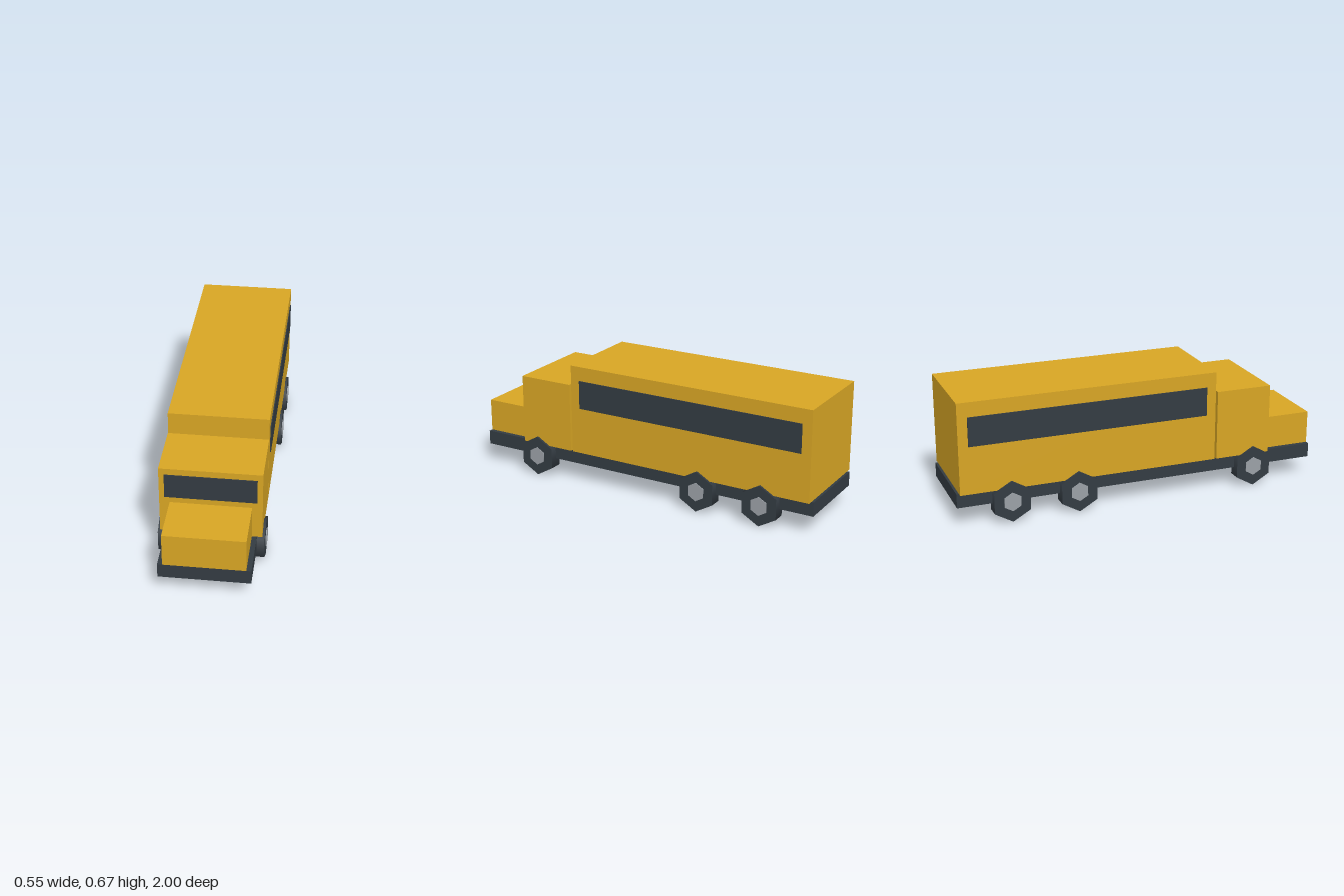
import * as THREE from 'three';

export function createModel() {
  const truck = new THREE.Group();
  truck.name = 'truck';

  const material = (name, color) => {
    const m = new THREE.MeshStandardMaterial({ color });
    m.name = name;
    return m;
  };
  const yellow = material('golden yellow', 0xd7a524);
  const dark = material('dark slate', 0x333b42);
  const grey = material('hub grey', 0x9aa0a6);

  // Box given by its lower and upper limits on each axis
  const box = (name, mat, [x0, x1], [y0, y1], [z0, z1]) => {
    const mesh = new THREE.Mesh(new THREE.BoxGeometry(x1 - x0, y1 - y0, z1 - z0), mat);
    mesh.position.set((x0 + x1) / 2, (y0 + y1) / 2, (z0 + z1) / 2);
    mesh.name = name;
    truck.add(mesh);
  };

  // Chassis and bodywork
  box('chassis', dark, [-0.23, 0.23], [0.102, 0.179], [-1, 1]);
  box('cargoBody', yellow, [-0.257, 0.257], [0.179, 0.668], [-0.987, 0.413]);
  box('cab', yellow, [-0.257, 0.257], [0.179, 0.557], [0.425, 0.733]);
  box('hood', yellow, [-0.205, 0.205], [0.179, 0.357], [0.733, 1]);

  // Glass plates
  box('windshield', dark, [-0.23, 0.23], [0.39, 0.523], [0.731, 0.738]);
  box('leftWindow', dark, [0.255, 0.262], [0.435, 0.59], [-0.935, 0.36]);
  box('rightWindow', dark, [-0.262, -0.255], [0.435, 0.59], [-0.935, 0.36]);

  // Six-sided wheels with a corner pointing up, axle along x
  const hexagon = (radius, width) =>
    new THREE.CylinderGeometry(radius, radius, width, 6).rotateY(Math.PI / 2).rotateZ(Math.PI / 2);
  const tyre = hexagon(0.111, 0.071);
  const hub = hexagon(0.051, 0.08);

  for (const [axle, z] of [['front', 0.642], ['middle', -0.358], ['rear', -0.719]]) {
    for (const [side, sign] of [['Left', 1], ['Right', -1]]) {
      const wheel = new THREE.Group();
      wheel.name = `${axle}${side}Wheel`;
      const tyreMesh = new THREE.Mesh(tyre, dark);
      tyreMesh.name = 'tyre';
      const hubMesh = new THREE.Mesh(hub, grey);
      hubMesh.name = 'hub';
      wheel.add(tyreMesh, hubMesh);
      wheel.position.set(sign * 0.234, 0.111, z);
      truck.add(wheel);
    }
  }
  return truck;
}
